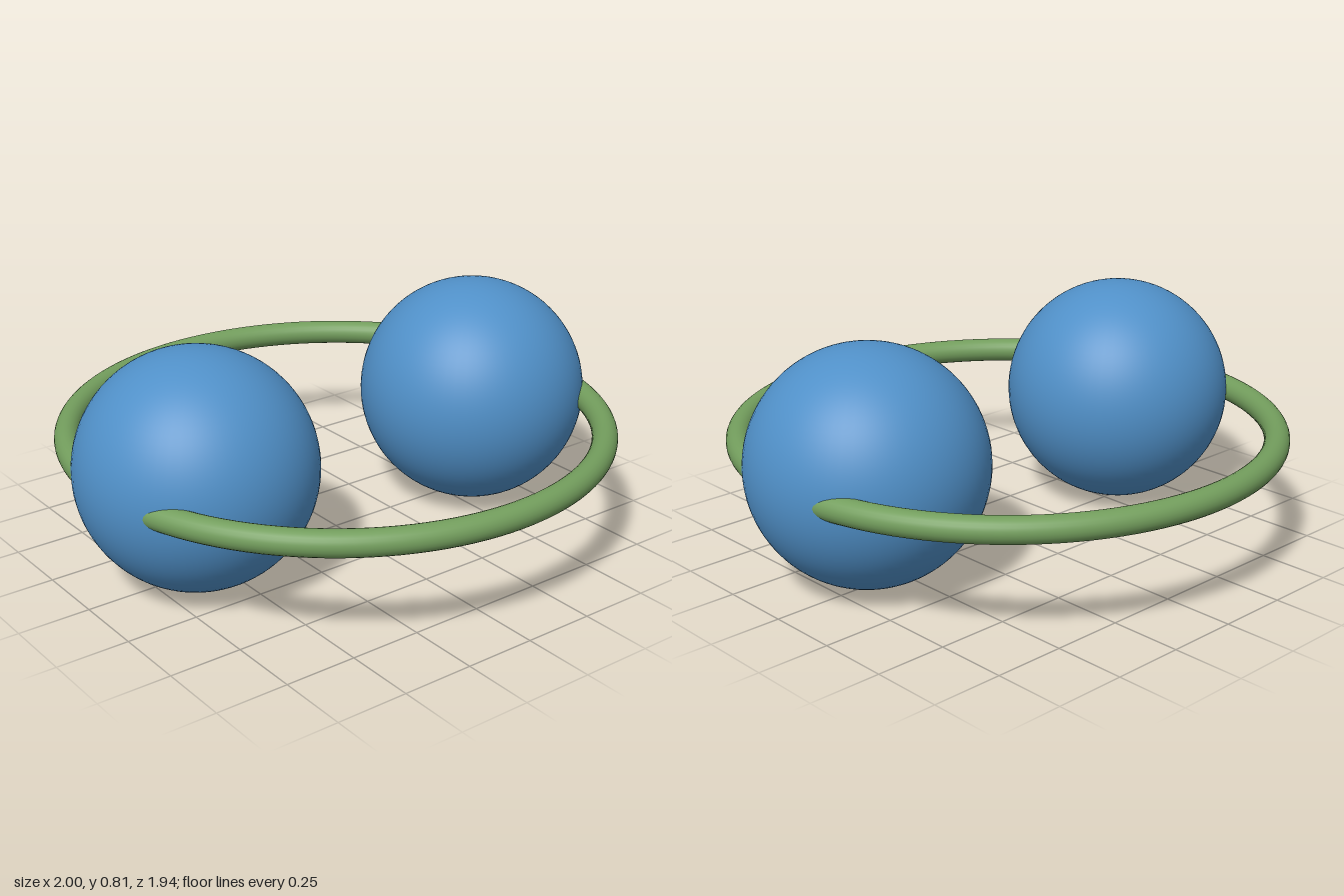
import * as THREE from 'three';

export function createModel() {
  const group = new THREE.Group();
  const blue = new THREE.MeshStandardMaterial({ color: 0x5090c8 });
  blue.name = 'blue';
  const green = new THREE.MeshStandardMaterial({ color: 0x739e5d });
  green.name = 'green';
  const centreY = 0.405;

  // Two balls, set slightly forward of the ring's centre
  const ballGeometry = new THREE.SphereGeometry(0.405, 64, 48);
  for (const [name, side] of [['leftBall', 1], ['rightBall', -1]]) {
    const ball = new THREE.Mesh(ballGeometry, blue);
    ball.name = name;
    ball.position.set(side * 0.595, centreY, 0.035);
    group.add(ball);
  }

  // Horizontal ring passing through both balls
  const ring = new THREE.Mesh(new THREE.TorusGeometry(0.924, 0.044, 24, 128), green);
  ring.name = 'ring';
  ring.rotation.x = Math.PI / 2;
  ring.position.y = centreY;
  group.add(ring);

  return group;
}
